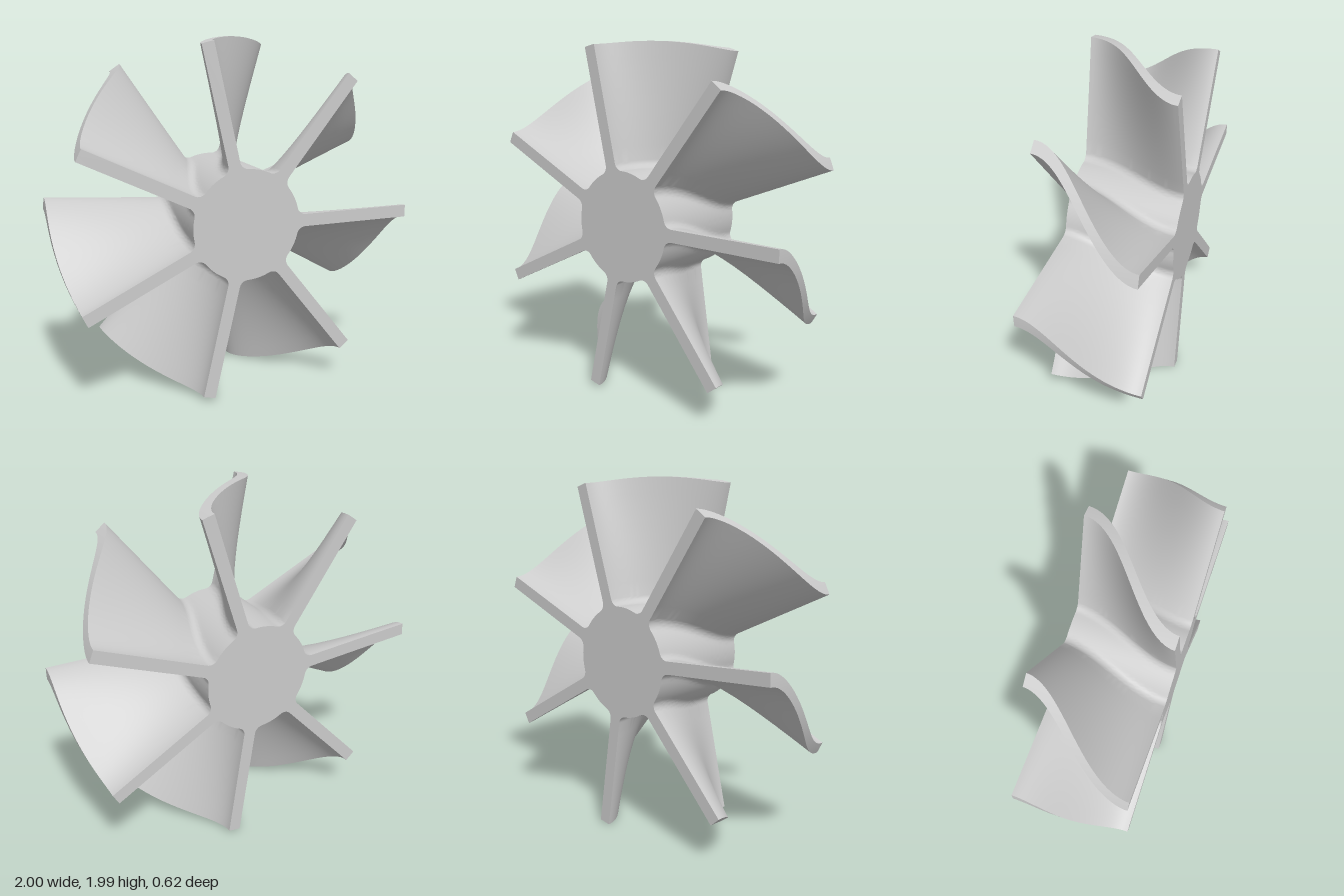
import * as THREE from 'three';
import { toCreasedNormals } from 'three/addons/utils/BufferGeometryUtils.js';

const BLADES = 7;
const TIP_R = 1.0;        // blade tip radius
const HUB_R = 0.31;       // hub radius
const HALF_T = 0.035;     // half blade thickness
const FILLET = 0.05;      // blade root fillet radius
const DEPTH = 0.62;       // length along z
const TWIST = Math.PI / 6; // clockwise turn from front to back

// Upper half of one blade sector, from the tip centre to the middle of the hub gap
function halfSector() {
  const pts = [];
  const polar = (r, a) => pts.push(new THREE.Vector2(r * Math.cos(a), r * Math.sin(a)));
  const lerp = THREE.MathUtils.lerp;

  // Rounded tip
  const tipAngle = Math.asin(HALF_T / TIP_R);
  for (let i = 0; i <= 2; i++) polar(TIP_R, tipAngle * i / 2);

  // Straight side down to the root
  const cy = HALF_T + FILLET;
  const cx = Math.sqrt((HUB_R + FILLET) ** 2 - cy ** 2);
  const tipX = TIP_R * Math.cos(tipAngle);
  for (let i = 1; i < 8; i++) pts.push(new THREE.Vector2(lerp(tipX, cx, i / 8), HALF_T));

  // Concave fillet into the hub
  const hubAngle = Math.atan2(cy, cx);
  for (let i = 0; i <= 8; i++) {
    const a = lerp(-Math.PI / 2, hubAngle - Math.PI, i / 8);
    pts.push(new THREE.Vector2(cx + FILLET * Math.cos(a), cy + FILLET * Math.sin(a)));
  }

  // Hub arc up to the middle of the gap
  for (let i = 1; i <= 4; i++) polar(HUB_R, lerp(hubAngle, Math.PI / BLADES, i / 4));
  return pts;
}

// Closed outline of hub and blades
function rotorShape() {
  const upper = halfSector();
  const lower = upper.slice(1, -1).reverse().map(p => new THREE.Vector2(p.x, -p.y));
  const sector = [...lower, ...upper];
  const outline = [];
  const origin = new THREE.Vector2();
  for (let k = 0; k < BLADES; k++) {
    const angle = k * 2 * Math.PI / BLADES;
    for (const p of sector) outline.push(p.clone().rotateAround(origin, angle));
  }
  return new THREE.Shape(outline);
}

// Extrude, then turn each slice with an eased S-shaped twist
function rotorGeometry() {
  const geo = new THREE.ExtrudeGeometry(rotorShape(), { depth: DEPTH, steps: 36, bevelEnabled: false });
  geo.translate(0, 0, -DEPTH / 2);
  const pos = geo.attributes.position;
  const v = new THREE.Vector3();
  const axis = new THREE.Vector3(0, 0, 1);
  for (let i = 0; i < pos.count; i++) {
    v.fromBufferAttribute(pos, i);
    const t = 0.5 - v.z / DEPTH;
    v.applyAxisAngle(axis, -TWIST * t * t * (3 - 2 * t));
    pos.setXYZ(i, v.x, v.y, v.z);
  }
  return toCreasedNormals(geo, 0.6);
}

export function createModel() {
  const group = new THREE.Group();
  group.name = 'impeller';
  const rotor = new THREE.Mesh(rotorGeometry(), new THREE.MeshStandardMaterial({ color: 0xcccccc }));
  rotor.name = 'hubWithTwistedBlades';
  rotor.position.y = 0.993;
  group.add(rotor);
  return group;
}
